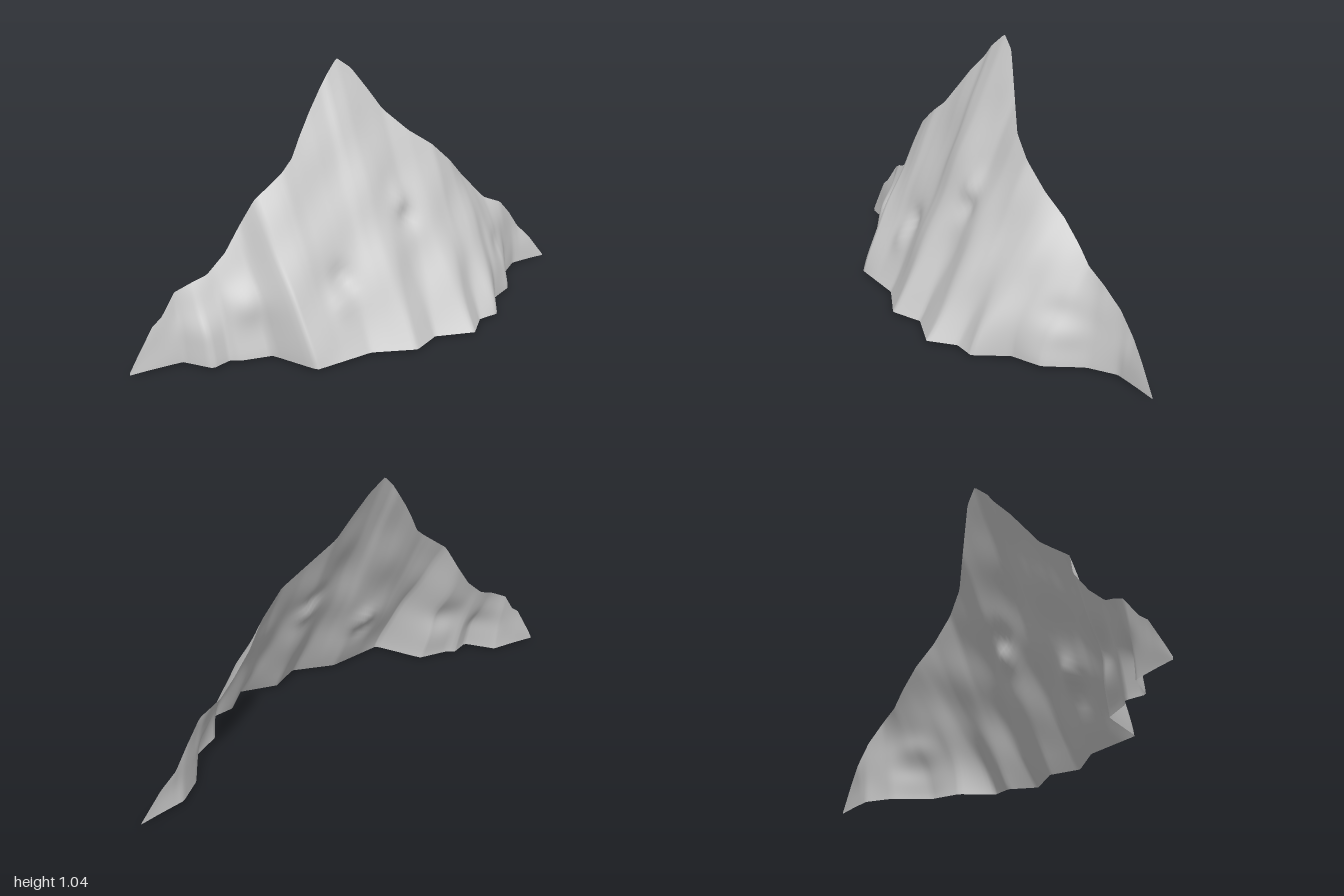
import * as THREE from 'three';

// Ridge line: x, y, z from one end of the range to the other
const crest = [
  [-1, 0.01, -0.2], [-0.97, 0.06, -0.2], [-0.9, 0.17, -0.2], [-0.86, 0.2, -0.2], [-0.8, 0.28, -0.21],
  [-0.74, 0.31, -0.19], [-0.68, 0.33, -0.18], [-0.6, 0.4, -0.18], [-0.53, 0.49, -0.19], [-0.48, 0.59, -0.16],
  [-0.4, 0.65, -0.15], [-0.36, 0.68, -0.15], [-0.31, 0.72, -0.165], [-0.26, 0.79, -0.19], [-0.2, 0.87, -0.215],
  [-0.13, 0.95, -0.245], [-0.1, 0.99, -0.25], [-0.04, 1.045, -0.27], [0.02, 1.0, -0.26], [0.08, 0.91, -0.23],
  [0.13, 0.83, -0.205], [0.22, 0.74, -0.155], [0.32, 0.67, -0.13], [0.42, 0.58, -0.14], [0.5, 0.5, -0.17],
  [0.58, 0.42, -0.18], [0.64, 0.36, -0.18], [0.73, 0.32, -0.18], [0.8, 0.25, -0.2], [0.86, 0.17, -0.21],
  [0.92, 0.11, -0.2], [1, 0.005, -0.19],
];

// Ragged foot line: x, z
const foot = [
  [-1, -0.2], [-0.8, -0.17], [-0.73, -0.06], [-0.65, -0.08], [-0.62, -0.055], [-0.5, -0.02], [-0.42, 0.17],
  [-0.18, 0.17], [-0.02, 0.25], [0.1, 0.2], [0.25, 0.26], [0.34, 0.18], [0.43, 0.18], [0.51, 0.06],
  [0.63, 0.01], [0.72, -0.12], [0.82, -0.185], [1, -0.19],
];

// Rock details pushed along z: x, y, radius, depth
const details = [
  [0.09, 0.51, 0.05, 0.02], [0.11, 0.44, 0.045, -0.02], [-0.22, 0.27, 0.05, -0.03],
  [-0.25, 0.2, 0.05, 0.02], [0.62, 0.2, 0.05, -0.02], [0.67, 0.12, 0.05, 0.02],
  [-0.58, 0.22, 0.07, 0.025], [-0.75, 0.14, 0.06, 0.02],
];

// Piecewise linear lookup of column k at position x
function sample(list, x, k) {
  let i = 1;
  while (i < list.length - 1 && list[i][0] < x) i++;
  const a = list[i - 1], b = list[i];
  const t = THREE.MathUtils.clamp((x - a[0]) / (b[0] - a[0]), 0, 1);
  return a[k] + (b[k] - a[k]) * t;
}

const bell = (x, centre, width) => Math.exp(-(((x - centre) / width) ** 2));

// Foot depth averaged over a window, so the ragged edge fades out uphill
function softFoot(x, width) {
  let sum = 0;
  for (let k = -3; k <= 3; k++) sum += sample(foot, x + (k / 3) * width, 1);
  return sum / 7;
}

function mountainPoint(u, v) {
  const x = -1 + 2 * u;
  const h = sample(crest, x, 1), crestZ = sample(crest, x, 2);
  // the steep spur leans outward as it climbs
  const footX = x + 0.06 * bell(x, -0.48, 0.15);
  const footY = Math.min(0.01, h) * (1 - Math.abs(x) ** 8);
  const soften = 0.1 * v * THREE.MathUtils.smoothstep(x, -0.4, -0.15)
    * (1 - THREE.MathUtils.smoothstep(x, 0.4, 0.6));
  const footZ = softFoot(footX, soften);
  // flanks bulge a little, with a low buttress on the left
  const flank = THREE.MathUtils.smoothstep(Math.abs(x), 0.3, 0.6);
  const power = 0.94 + 0.35 * flank + 0.6 * bell(x, 0.53, 0.08);
  const px = footX + (x - footX) * v;
  const py = footY + (h - footY) * v;
  let bump = 0.004 * Math.sin(15 * px + 13 * py) + 0.004 * Math.sin(21 * py - 16 * px + 1);
  for (const [dx, dy, r, d] of details) bump += d * bell(px, dx, r) * bell(py, dy, r);
  const inside = Math.sin(Math.PI * v) * Math.min(1, h * 2);
  return [px, py, footZ + (crestZ - footZ) * v ** power + bump * inside];
}

export function createModel() {
  const group = new THREE.Group();
  group.name = 'mountain';
  const cols = 160, rows = 28;
  const positions = [], index = [];

  // Open shell woven between the foot line and the ridge line
  for (let i = 0; i <= cols; i++) {
    for (let j = 0; j <= rows; j++) positions.push(...mountainPoint(i / cols, j / rows));
  }
  for (let i = 0; i < cols; i++) {
    for (let j = 0; j < rows; j++) {
      const a = i * (rows + 1) + j, b = a + rows + 1;
      index.push(a, b, b + 1, a, b + 1, a + 1);
    }
  }
  const geometry = new THREE.BufferGeometry();
  geometry.setAttribute('position', new THREE.Float32BufferAttribute(positions, 3));
  geometry.setIndex(index);
  geometry.computeVertexNormals();

  const material = new THREE.MeshStandardMaterial({ color: 0xcccccc, side: THREE.DoubleSide });
  const face = new THREE.Mesh(geometry, material);
  face.name = 'mountainFace';
  group.add(face);
  return group;
}
